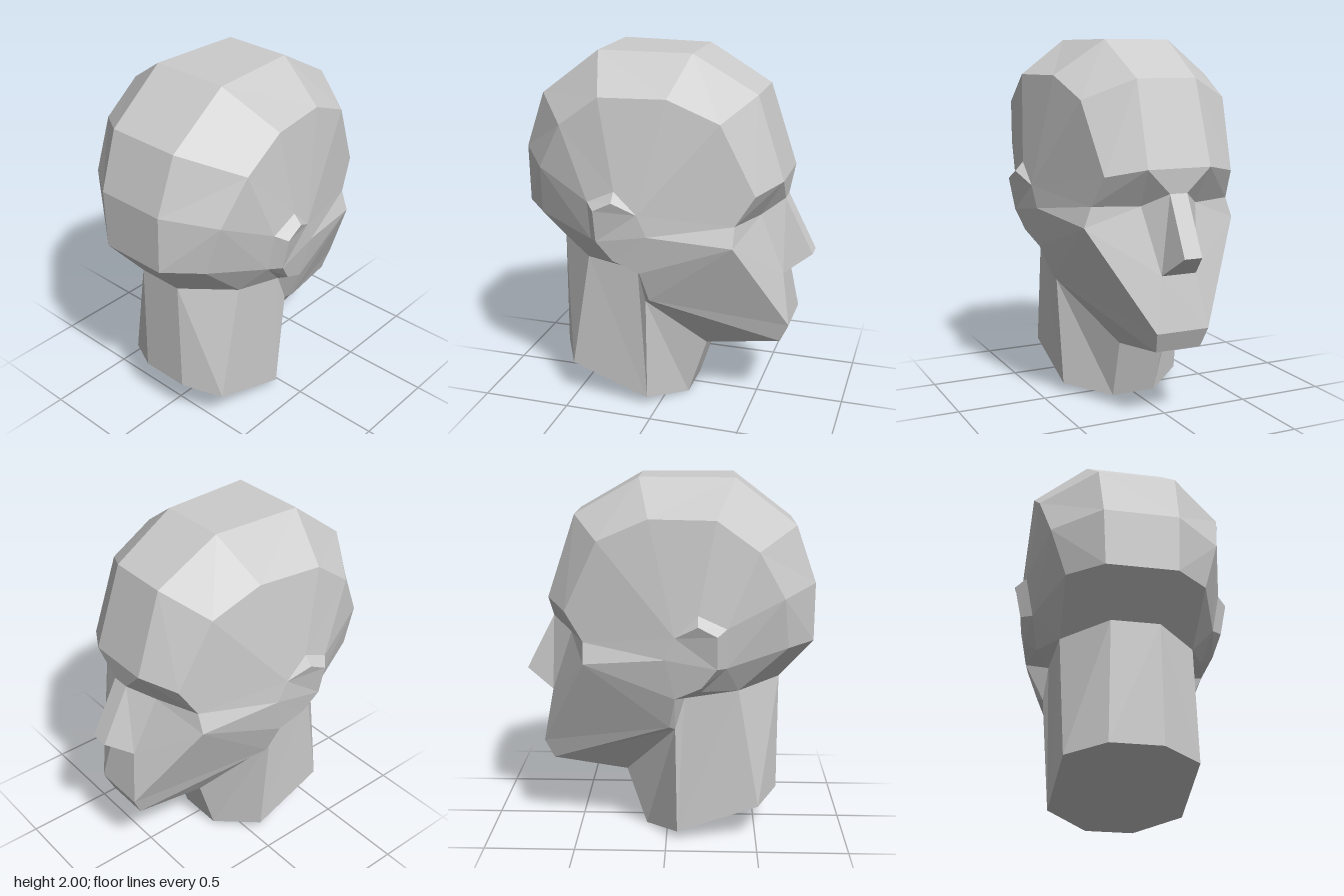
import * as THREE from 'three';

const material = new THREE.MeshStandardMaterial({ color: 0xcccccc, flatShading: true, side: THREE.DoubleSide });
const mirror = ([x, y, z]) => [-x, y, z];

// Builds a part from facets, each turned to face away from the part's centre.
// Side facets are mirrored; bridges span an edge and its mirror image.
function buildPart(name, centre, sides, bridges = []) {
  const positions = [];
  const addFacet = (corners, middle) => {
    const c = new THREE.Vector3(...middle);
    const p = corners.map((v) => new THREE.Vector3(...v));
    for (let i = 1; i < p.length - 1; i++) {
      let tri = [p[0], p[i], p[i + 1]];
      const normal = tri[1].clone().sub(tri[0]).cross(tri[2].clone().sub(tri[0]));
      if (normal.dot(tri[0].clone().add(tri[1]).add(tri[2]).divideScalar(3).sub(c)) < 0) tri.reverse();
      tri.forEach((v) => positions.push(v.x, v.y, v.z));
    }
  };
  sides.forEach((f) => {
    addFacet(f, centre);
    addFacet(f.map(mirror), mirror(centre));
  });
  bridges.forEach(([a, b]) => addFacet([a, b, mirror(b), mirror(a)], [0, centre[1], centre[2]]));
  const geometry = new THREE.BufferGeometry();
  geometry.setAttribute('position', new THREE.Float32BufferAttribute(positions, 3));
  geometry.computeVertexNormals();
  const mesh = new THREE.Mesh(geometry, material);
  mesh.name = name;
  return mesh;
}

export function createModel() {
  // Skull profiles from nape over the crown to the brow: inner and outer
  const inner = [[0.13, 0.9, 0.62], [0.19, 1.12, 0.8], [0.2, 1.44, 0.8], [0.21, 1.75, 0.69],
    [0.22, 2, 0.36], [0.19, 2, -0.15], [0.17, 1.8, -0.5], [0.18, 1.35, -0.65]];
  const outer = [[0.36, 0.88, 0.39], [0.37, 1.12, 0.65], [0.45, 1.4, 0.62], [0.5, 1.65, 0.48],
    [0.51, 1.81, 0.26], [0.46, 1.81, -0.09], [0.42, 1.69, -0.36], [0.37, 1.31, -0.54]];

  // Ear: root against the skull, and raised rim
  const rootBack = [0.54, 1.26, 0.32], rootTop = [0.545, 1.33, 0.17], rootLow = [0.5, 1.04, 0.32];
  const rootLobe = [0.46, 0.9, 0.19], earFront = [0.54, 1.21, 0.05], temple = [0.53, 1.09, 0];
  const rimBack = [0.595, 1.23, 0.27], rimTop = [0.59, 1.28, 0.17], rimLow = [0.56, 1.05, 0.27];
  const rimLobe = [0.53, 0.94, 0.19], lobe = [0.5, 0.87, 0.05];

  // Face
  const bridge = [0.05, 1.22, -0.64], noseTip = [0.05, 0.91, -0.8], noseWing = [0.1, 0.8, -0.65];
  const eyeIn = [0.16, 1.15, -0.53], eyeOut = [0.4, 1.15, -0.44], cheek = [0.44, 1.04, -0.44];
  const chin = [0.15, 0.51, -0.7], chinLow = [0.13, 0.4, -0.65];

  // Jaw and neck
  const jaw = [0.43, 0.69, 0.02], jawIn = [0.4, 0.67, 0.05];
  const throat = [0.14, 0.34, -0.23], neckSide = [0.38, 0.84, 0.1];
  const base = [[0.13, 0, -0.12], [0.36, 0.05, 0.06], [0.345, 0.2, 0.51], [0.14, 0.24, 0.62]];

  const brow = inner[7], browOut = outer[7], nape = inner[0], napeOut = outer[0];

  // Skull strips, then the flat side planes around the ear
  const skullSides = [], skullBridges = [];
  for (let i = 0; i < 7; i++) {
    skullSides.push([inner[i], inner[i + 1], outer[i + 1], outer[i]]);
    skullBridges.push([inner[i], inner[i + 1]]);
  }
  const anchors = [rootLow, rootLow, rootBack, rootTop, rootTop, earFront, earFront];
  anchors.forEach((a, i) => {
    skullSides.push([outer[i], outer[i + 1], a]);
    if (i > 0 && a !== anchors[i - 1]) skullSides.push([outer[i], a, anchors[i - 1]]);
  });
  skullSides.push([napeOut, rootLow, rootLobe], [napeOut, rootLobe, neckSide],
    [browOut, eyeOut, earFront], [eyeOut, temple, earFront]);

  const group = new THREE.Group();
  group.name = 'head';
  group.add(
    buildPart('skull', [0, 1.1, 0.1], skullSides, skullBridges),
    buildPart('ears', [0.45, 1.1, 0.1], [
      [rootBack, rimBack, rimLow, rootLow],
      [rootBack, rootTop, rimTop, rimBack],
      [rootTop, earFront, rimTop],
      [rimBack, rimTop, earFront],
      [rimBack, earFront, rimLow],
      [earFront, temple, rimLow],
      [temple, rimLobe, rimLow],
      [temple, lobe, rimLobe],
      [rootLow, rimLow, rimLobe, rootLobe],
      [rootLobe, rimLobe, lobe],
    ]),
    buildPart('face', [0, 1.1, 0], [
      [brow, browOut, eyeOut, eyeIn],
      [brow, eyeIn, bridge],
      [eyeIn, eyeOut, cheek],
      [eyeIn, cheek, noseWing],
      [cheek, chin, noseWing],
    ], [[brow, bridge], [noseWing, chin], [chin, chinLow]]),
    buildPart('nose', [0, 1.1, -0.3], [[bridge, eyeIn, noseWing, noseTip]],
      [[bridge, noseTip], [noseTip, noseWing]]),
    buildPart('jaw', [0, 1, -0.3], [
      [eyeOut, cheek, temple],
      [cheek, lobe, temple],
      [cheek, jaw, lobe],
      [cheek, chin, jaw],
      [jaw, chin, chinLow],
      [jaw, chinLow, jawIn],
      [jawIn, chinLow, throat],
      [lobe, jaw, jawIn, neckSide],
      [rootLobe, lobe, neckSide],
    ], [[chinLow, throat]]),
    buildPart('neck', [0, 0.45, 0.2], [
      [nape, napeOut, base[2], base[3]],
      [napeOut, neckSide, base[1], base[2]],
      [neckSide, jawIn, base[1]],
      [jawIn, throat, base[0], base[1]],
    ], [[nape, base[3]], [throat, base[0]], [base[0], base[1]], [base[1], base[2]], [base[2], base[3]]]),
  );
  return group;
}
